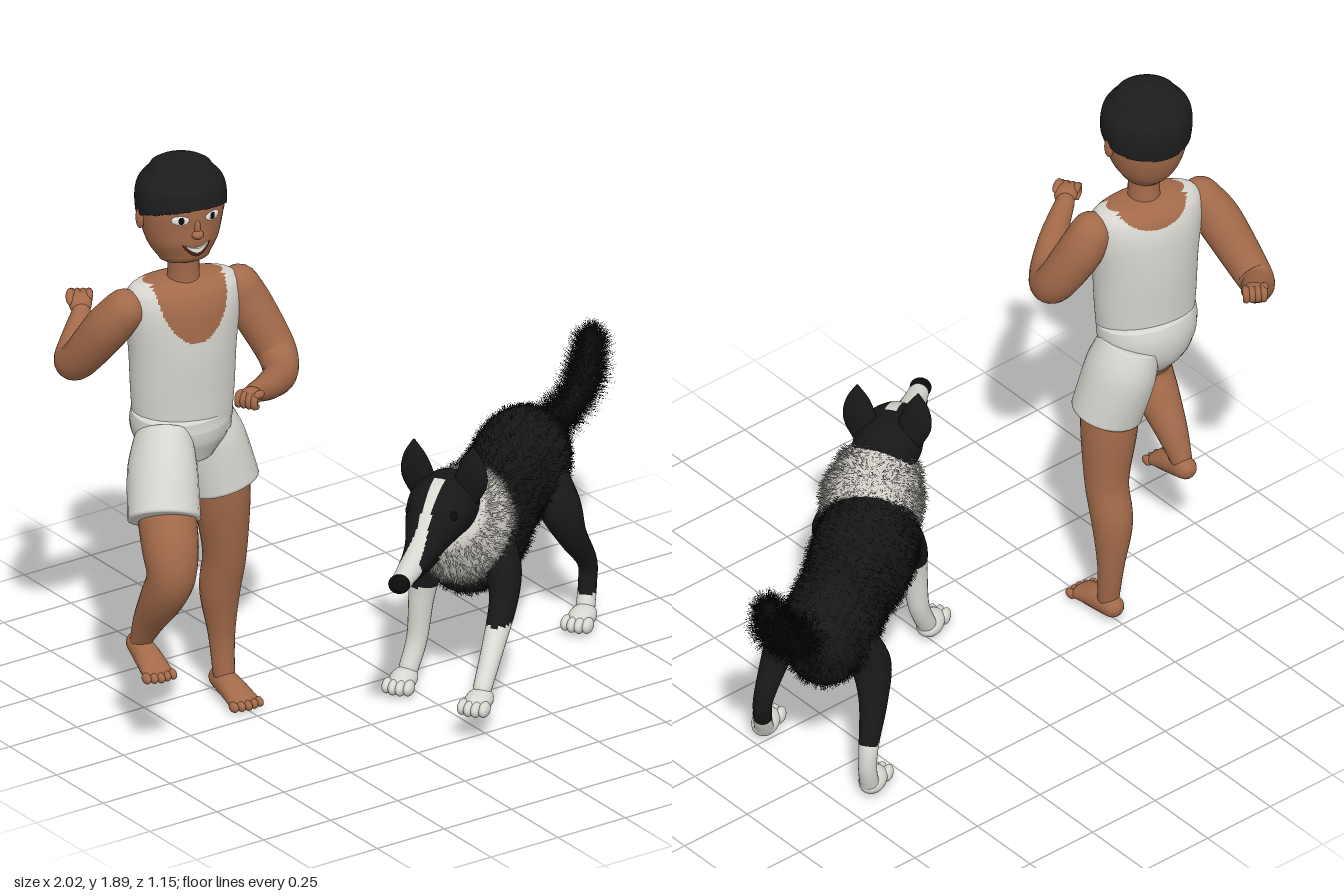
import * as THREE from 'three';

const material = (name, color, side = THREE.FrontSide) => {
  const m = new THREE.MeshStandardMaterial({ color, side });
  m.name = name;
  return m;
};
const skin = material('brown skin', 0xa36a4a);
const cloth = material('white cloth', 0xd6d4ce);
const hair = material('black hair', 0x1d1d1d);
const coat = material('black coat', 0x171717, THREE.DoubleSide);
const white = material('white coat', 0xd9d7d1);
const ruffFur = material('pale ruff', 0xcfccc5, THREE.DoubleSide);
const eyeWhite = material('eye white', 0xf2f0ea);
const dark = material('eye black', 0x0c0a0a);
const lip = material('mouth brown', 0x4a2018);

let seed = 7;
const rnd = () => (seed = (seed * 16807) % 2147483647) / 2147483647;
const V = (x, y, z) => new THREE.Vector3(x, y, z);

// Catmull-Rom through rows of numbers
function smooth(rows, n) {
  const out = [], last = rows.length - 1;
  for (let i = 0; i <= n; i++) {
    const u = (i / n) * last, k = Math.min(Math.floor(u), last - 1), t = u - k;
    const [a, b, c, d] = [k - 1, k, k + 1, k + 2].map(j => rows[Math.max(0, Math.min(last, j))]);
    out.push(b.map((_, q) => 0.5 * (2 * b[q] + (c[q] - a[q]) * t + (2 * a[q] - 5 * b[q] + 4 * c[q] - d[q]) * t * t
      + (3 * b[q] - a[q] - 3 * c[q] + d[q]) * t * t * t)));
  }
  return out;
}

// Round-ended skin over rows [x, y, z, radiusA, radiusB]; faces passing the test take the second material
function tube(parent, name, rows, mat, { n = 24, seg = 24, cap = 1, ref = V(1, 0, 0), alt = null, test = null } = {}) {
  const pts = smooth(rows.map(r => [r[0], r[1], r[2], r[3], r[4] ?? r[3]]), n);
  const P = pts.map(p => V(p[0], p[1], p[2])), rings = [];
  pts.forEach((p, i) => {
    const T = P[Math.min(n, i + 1)].clone().sub(P[Math.max(0, i - 1)]).normalize();
    const N = ref.clone().addScaledVector(T, -ref.dot(T)).normalize(), B = T.clone().cross(N);
    const ring = (shift, k) => rings.push([P[i].clone().addScaledVector(T, shift), N, B, p[3] * k, p[4] * k]);
    const h = cap * Math.min(p[3], p[4]), angles = [0.02, 0.3, 0.6, 0.9, 1.2];
    if (i === 0) angles.forEach(a => ring(-h * Math.cos(a), Math.sin(a)));
    ring(0, 1);
    if (i === n) angles.reverse().forEach(a => ring(h * Math.cos(a), Math.sin(a)));
  });
  const pos = [], faces = [[], []];
  for (const [c, N, B, ra, rb] of rings) for (let j = 0; j < seg; j++) {
    const a = (j / seg) * Math.PI * 2;
    pos.push(...c.clone().addScaledVector(N, ra * Math.cos(a)).addScaledVector(B, rb * Math.sin(a)).toArray());
  }
  const at = i => V(pos[i * 3], pos[i * 3 + 1], pos[i * 3 + 2]);
  for (let i = 0; i < rings.length - 1; i++) for (let j = 0; j < seg; j++) {
    const a = i * seg + j, b = i * seg + (j + 1) % seg, c = b + seg, d = a + seg;
    const mid = at(a).add(at(b)).add(at(c)).add(at(d)).multiplyScalar(0.25);
    faces[test && test(mid) ? 1 : 0].push(a, b, d, b, c, d);
  }
  const g = new THREE.BufferGeometry();
  g.setAttribute('position', new THREE.Float32BufferAttribute(pos, 3));
  g.setIndex(alt ? [...faces[0], ...faces[1]] : faces[0]);
  if (alt) {
    g.addGroup(0, faces[0].length, 0);
    g.addGroup(faces[0].length, faces[1].length, 1);
  }
  g.computeVertexNormals();
  const m = new THREE.Mesh(g, alt ? [mat, alt] : mat);
  m.name = name;
  parent.add(m);
  return m;
}

function ball(parent, name, mat, p, s, rotY = 0) {
  const m = new THREE.Mesh(new THREE.SphereGeometry(1, 20, 14), mat);
  m.position.set(...p);
  m.scale.set(...s);
  m.rotation.y = rotY;
  m.name = name;
  parent.add(m);
}

// Thin hairs scattered over a mesh
function fur(parent, name, mesh, mat, count, length, width, lean) {
  const g = mesh.geometry, P = g.attributes.position, N = g.attributes.normal, I = g.index, pos = [], nor = [];
  for (let k = 0; k < count; k++) {
    const t = Math.floor(rnd() * I.count / 3) * 3, w = [rnd(), rnd(), rnd()], sum = w[0] + w[1] + w[2];
    const p = V(0, 0, 0), q = V(0, 0, 0), tmp = V(0, 0, 0);
    w.forEach((f, j) => {
      p.addScaledVector(tmp.fromBufferAttribute(P, I.getX(t + j)), f / sum);
      q.addScaledVector(tmp.fromBufferAttribute(N, I.getX(t + j)), f / sum);
    });
    q.normalize();
    const dir = q.clone().add(lean).add(V(rnd() - 0.5, rnd() - 0.5, rnd() - 0.5)).normalize();
    const side = dir.clone().cross(V(rnd() - 0.5, rnd() - 0.5, rnd() - 0.5)).normalize().multiplyScalar(width);
    const tip = p.clone().addScaledVector(dir, length * (0.3 + 0.7 * rnd()));
    for (const v of [p.clone().sub(side), p.clone().add(side), tip]) {
      pos.push(...v.toArray());
      nor.push(...q.toArray());
    }
  }
  const f = new THREE.BufferGeometry();
  f.setAttribute('position', new THREE.Float32BufferAttribute(pos, 3));
  f.setAttribute('normal', new THREE.Float32BufferAttribute(nor, 3));
  const m = new THREE.Mesh(f, mat);
  m.name = name;
  parent.add(m);
}

function hand(parent, name, p, target) {
  const g = new THREE.Group();
  g.name = name;
  ball(g, 'palm', skin, [0, 0, 0], [0.036, 0.027, 0.042]);
  for (let i = 0; i < 4; i++) {
    const x = (i - 1.5) * 0.018;
    tube(g, 'finger', [[x, 0.008, 0.018, 0.012], [x, 0.004, 0.04, 0.012], [x, -0.022, 0.038, 0.011], [x, -0.026, 0.018, 0.01]], skin, { n: 8, seg: 8 });
  }
  ball(g, 'thumb', skin, [0.032, 0.012, 0.015], [0.013, 0.013, 0.03]);
  g.position.set(...p);
  g.lookAt(...target);
  parent.add(g);
}

function foot(parent, name, p, yaw, pitch) {
  const g = new THREE.Group();
  g.name = name;
  tube(g, 'sole', [[0, 0.03, -0.022, 0.036, 0.036], [0, 0.022, 0.045, 0.043, 0.038], [0, 0.004, 0.12, 0.05, 0.025]], skin, { n: 12, seg: 16 });
  for (let i = 0; i < 5; i++) ball(g, 'toe', skin, [(i - 2) * 0.022, 0, 0.144 - 0.004 * Math.abs(i - 2)], [0.013, 0.016, 0.022]);
  g.position.set(...p);
  g.rotation.set(pitch, yaw, 0);
  parent.add(g);
}

function makeRunner() {
  const g = new THREE.Group();
  g.name = 'runner';

  // Torso with the vest's neckline and armholes
  const torso = new THREE.Group();
  torso.name = 'torso';
  torso.position.set(-0.685, 0, -0.137);
  torso.rotation.y = -0.2;
  g.add(torso);
  const bare = p => (p.x / 0.119) ** 2 + ((p.y - 1.5) / (p.z > 0 ? 0.195 : 0.07)) ** 2 < 1 || (Math.abs(p.x) > 0.182 && p.y > 1.27);
  tube(torso, 'vest', [[0, 0.97, 0, 0.155, 0.113], [0, 1.1, 0, 0.166, 0.118], [0, 1.25, 0, 0.173, 0.124],
    [0, 1.38, 0, 0.188, 0.118], [0, 1.445, 0, 0.186, 0.1], [0, 1.475, 0, 0.168, 0.076]], cloth,
    { n: 100, seg: 160, cap: 0.25, alt: skin, test: bare });
  tube(g, 'neck', [[-0.69, 1.42, -0.13, 0.062], [-0.69, 1.5, -0.125, 0.05], [-0.695, 1.62, -0.12, 0.05]], skin);

  // Head
  const head = new THREE.Group();
  head.name = 'head';
  head.position.set(-0.7, 0, -0.125);
  head.rotation.y = -0.19;
  g.add(head);
  const rows = [[0, 1.58, 0.025, 0.08, 0.088], [0, 1.625, 0.014, 0.108, 0.113], [0, 1.69, 0.003, 0.127, 0.125],
    [0, 1.76, 0, 0.135, 0.13], [0, 1.815, 0, 0.126, 0.121], [0, 1.853, 0, 0.094, 0.092]];
  tube(head, 'face', rows, skin, { n: 30, seg: 40, cap: 0.36 });
  tube(head, 'hair', rows.map(r => [r[0], r[1] + 0.002, r[2], r[3] + 0.008, r[4] + 0.008]), hair,
    { n: 90, seg: 72, cap: 0.36, test: p => p.y < 1.722 + (p.z > 0 ? 0.33 : 0.16) * p.z });
  ball(head, 'nose', skin, [0, 1.683, 0.128], [0.019, 0.015, 0.017]);
  ball(head, 'noseBridge', skin, [0, 1.705, 0.122], [0.011, 0.032, 0.014]);
  for (const s of [-1, 1]) {
    ball(head, 'ear', skin, [s * 0.134, 1.71, -0.005], [0.013, 0.035, 0.018]);
    ball(head, 'eye', eyeWhite, [s * 0.053, 1.735, 0.1165], [0.028, 0.016, 0.007], s * 0.38);
    ball(head, 'pupil', dark, [s * 0.052, 1.735, 0.122], [0.01, 0.012, 0.004], s * 0.38);
    tube(head, 'brow', [[s * 0.025, 1.766, 0.128, 0.003], [s * 0.052, 1.774, 0.121, 0.004], [s * 0.08, 1.765, 0.106, 0.003]], hair, { n: 8, seg: 8 });
  }
  const smile = (name, mat, w, drop, z) => {
    const s = new THREE.Shape();
    s.moveTo(-w, 0.014);
    s.quadraticCurveTo(0, -0.012, w, 0.014);
    s.quadraticCurveTo(0, -drop, -w, 0.014);
    const geo = new THREE.ExtrudeGeometry(s, { depth: 0.009, bevelEnabled: false, curveSegments: 16 });
    const p = geo.attributes.position;
    for (let i = 0; i < p.count; i++) p.setZ(i, p.getZ(i) - 5.5 * p.getX(i) ** 2 + 0.12 * Math.min(0, p.getY(i)));
    const m = new THREE.Mesh(geo, mat);
    m.position.set(0, 1.636, z);
    m.name = name;
    head.add(m);
  };
  smile('mouth', lip, 0.047, 0.068, 0.1195);
  smile('teeth', eyeWhite, 0.039, 0.042, 0.121);

  // Arms
  const ref = V(1, 0.6, 1);
  tube(g, 'leftArm', [[-0.5, 1.415, -0.1, 0.066], [-0.467, 1.34, -0.08, 0.071], [-0.422, 1.21, -0.015, 0.063],
    [-0.465, 1.175, 0.07, 0.054], [-0.575, 1.2, 0.17, 0.044], [-0.69, 1.235, 0.25, 0.03]], skin, { n: 36, ref });
  hand(g, 'leftHand', [-0.715, 1.242, 0.275], [-0.85, 1.27, 0.36]);
  tube(g, 'rightArm', [[-0.88, 1.405, -0.17, 0.066], [-0.913, 1.33, -0.22, 0.071], [-0.942, 1.2, -0.32, 0.061],
    [-0.93, 1.175, -0.38, 0.054], [-0.875, 1.21, -0.435, 0.045], [-0.82, 1.26, -0.485, 0.03]], skin, { n: 36 });
  hand(g, 'rightHand', [-0.806, 1.28, -0.51], [-0.756, 1.335, -0.585]);

  // Shorts
  tube(g, 'shortsSeat', [[-0.685, 0.88, -0.13, 0.09, 0.09], [-0.685, 0.94, -0.14, 0.145, 0.125], [-0.685, 1.0, -0.145, 0.168, 0.135],
    [-0.686, 1.05, -0.14, 0.168, 0.127]], cloth, { cap: 0.15 });
  tube(g, 'leftShortsLeg', [[-0.595, 0.99, -0.17, 0.09, 0.1], [-0.565, 0.9, -0.165, 0.108, 0.117], [-0.53, 0.745, -0.14, 0.115, 0.11]], cloth, { cap: 0.06 });
  tube(g, 'rightShortsLeg', [[-0.775, 0.98, -0.11, 0.085, 0.1], [-0.82, 0.9, -0.05, 0.106, 0.115], [-0.873, 0.775, 0.035, 0.114, 0.108]], cloth, { cap: 0.06 });

  // Legs and feet
  tube(g, 'leftLeg', [[-0.54, 0.82, -0.15, 0.092], [-0.525, 0.68, -0.155, 0.088], [-0.508, 0.5, -0.165, 0.069],
    [-0.505, 0.36, -0.195, 0.064], [-0.495, 0.2, -0.2, 0.042], [-0.495, 0.07, -0.188, 0.034]], skin, { n: 32 });
  foot(g, 'leftFoot', [-0.495, 0.02, -0.188], -0.08, 0);
  tube(g, 'rightLeg', [[-0.845, 0.82, 0.0, 0.092], [-0.875, 0.7, 0.07, 0.088], [-0.887, 0.61, 0.093, 0.076],
    [-0.89, 0.52, 0.048, 0.068], [-0.89, 0.42, -0.02, 0.05], [-0.89, 0.33, -0.068, 0.033]], skin, { n: 32 });
  foot(g, 'rightFoot', [-0.89, 0.285, -0.07], -0.15, 0.14);
  return g;
}

// The dog faces its own +z
function makeDog() {
  const g = new THREE.Group();
  g.name = 'dog';
  g.position.set(0.4, 0, -0.03);
  g.rotation.y = -0.944;

  // Furry body, ruff and tail
  const body = tube(g, 'body', [[0, 0.49, -0.37, 0.115, 0.135], [0, 0.495, -0.27, 0.148, 0.168], [0, 0.488, -0.08, 0.14, 0.16],
    [0, 0.465, 0.12, 0.158, 0.196], [0, 0.47, 0.26, 0.152, 0.185]], coat, { n: 30, cap: 0.7 });
  fur(g, 'bodyFur', body, coat, 12000, 0.026, 0.0013, V(0, -0.2, -0.7));
  const ruff = tube(g, 'ruff', [[0.012, 0.51, 0.27, 0.14, 0.168], [0.015, 0.555, 0.345, 0.15, 0.175], [0.01, 0.622, 0.425, 0.115, 0.125]], ruffFur, { cap: 0.3 });
  fur(g, 'ruffFur', ruff, ruffFur, 6000, 0.032, 0.0022, V(0, -0.3, -0.5));
  const tail = tube(g, 'tail', [[0.02, 0.54, -0.38, 0.034], [0.06, 0.57, -0.46, 0.032], [0.1, 0.64, -0.525, 0.032],
    [0.11, 0.705, -0.56, 0.029], [0.11, 0.765, -0.585, 0.016]], coat, { seg: 16 });
  fur(g, 'tailFur', tail, coat, 11000, 0.07, 0.0012, V(0, 0.5, -0.25));

  // Head with a pale blaze and muzzle
  const pale = p => p.z > 0.5 && ((p.y > 0.6 && Math.abs(p.x) < 0.017 + Math.max(0, p.z - 0.64) * 0.1) || p.z > 0.78 || (p.z > 0.66 && p.y < 0.567));
  tube(g, 'head', [[0, 0.655, 0.4, 0.1, 0.1], [0, 0.665, 0.48, 0.106, 0.104], [0, 0.645, 0.56, 0.088, 0.09],
    [0, 0.608, 0.645, 0.06, 0.06], [0, 0.588, 0.73, 0.044, 0.042], [0, 0.575, 0.85, 0.032, 0.03]], coat,
    { n: 70, seg: 72, cap: 0.6, alt: white, test: pale });
  ball(g, 'nose', dark, [0, 0.577, 0.875], [0.034, 0.03, 0.03]);
  for (const s of [-1, 1]) {
    ball(g, 'eye', dark, [s * 0.068, 0.685, 0.575], [0.016, 0.016, 0.016]);
    tube(g, 'mouthLine', [[s * 0.03, 0.566, 0.83, 0.004], [s * 0.041, 0.57, 0.75, 0.005], [s * 0.055, 0.58, 0.67, 0.005]], dark, { n: 8, seg: 8 });
    tube(g, 'ear', [[s * 0.07, 0.7, 0.45, 0.042, 0.026], [s * 0.088, 0.76, 0.455, 0.052, 0.028],
      [s * 0.094, 0.82, 0.46, 0.036, 0.019], [s * 0.096, 0.868, 0.462, 0.005, 0.004]], coat, { n: 16 });
  }

  // Legs, black above and white below, each with a toed paw
  const leg = (name, rows, hem, paw) => {
    tube(g, name, rows, coat, { n: 50, seg: 20, alt: white, test: p => p.y < hem });
    const f = new THREE.Group();
    f.name = name + 'Paw';
    ball(f, 'pad', white, [0, 0, -0.01], [0.043, 0.034, 0.065]);
    for (let i = 0; i < 4; i++) ball(f, 'toe', white, [(i - 1.5) * 0.023, -0.006, 0.05 - 0.008 * Math.abs(i - 1.5)], [0.017, 0.024, 0.032]);
    f.position.set(...paw);
    g.add(f);
  };
  leg('frontLeftLeg', [[0.115, 0.49, 0.29, 0.055], [0.15, 0.41, 0.335, 0.056], [0.168, 0.33, 0.39, 0.044],
    [0.175, 0.23, 0.505, 0.035], [0.18, 0.14, 0.62, 0.029]], 0.29, [0.18, 0.115, 0.66]);
  leg('frontRightLeg', [[-0.09, 0.48, 0.27, 0.06], [-0.105, 0.38, 0.325, 0.053], [-0.115, 0.28, 0.34, 0.04],
    [-0.125, 0.15, 0.35, 0.033], [-0.14, 0.06, 0.385, 0.031]], 0.33, [-0.145, 0.037, 0.43]);
  leg('backLeftLeg', [[0.085, 0.47, -0.24, 0.07], [0.15, 0.39, -0.19, 0.067], [0.185, 0.3, -0.2, 0.047],
    [0.208, 0.19, -0.27, 0.032], [0.213, 0.12, -0.265, 0.029], [0.218, 0.05, -0.23, 0.03]], 0.095, [0.222, 0.037, -0.18]);
  leg('backRightLeg', [[-0.075, 0.47, -0.29, 0.07], [-0.13, 0.39, -0.28, 0.065], [-0.155, 0.3, -0.34, 0.046],
    [-0.163, 0.2, -0.425, 0.032], [-0.163, 0.12, -0.445, 0.029], [-0.165, 0.05, -0.43, 0.03]], 0.2, [-0.168, 0.037, -0.385]);
  return g;
}

export function createModel() {
  const model = new THREE.Group();
  model.name = 'runnerWithDog';
  model.add(makeRunner(), makeDog());
  return model;
}
